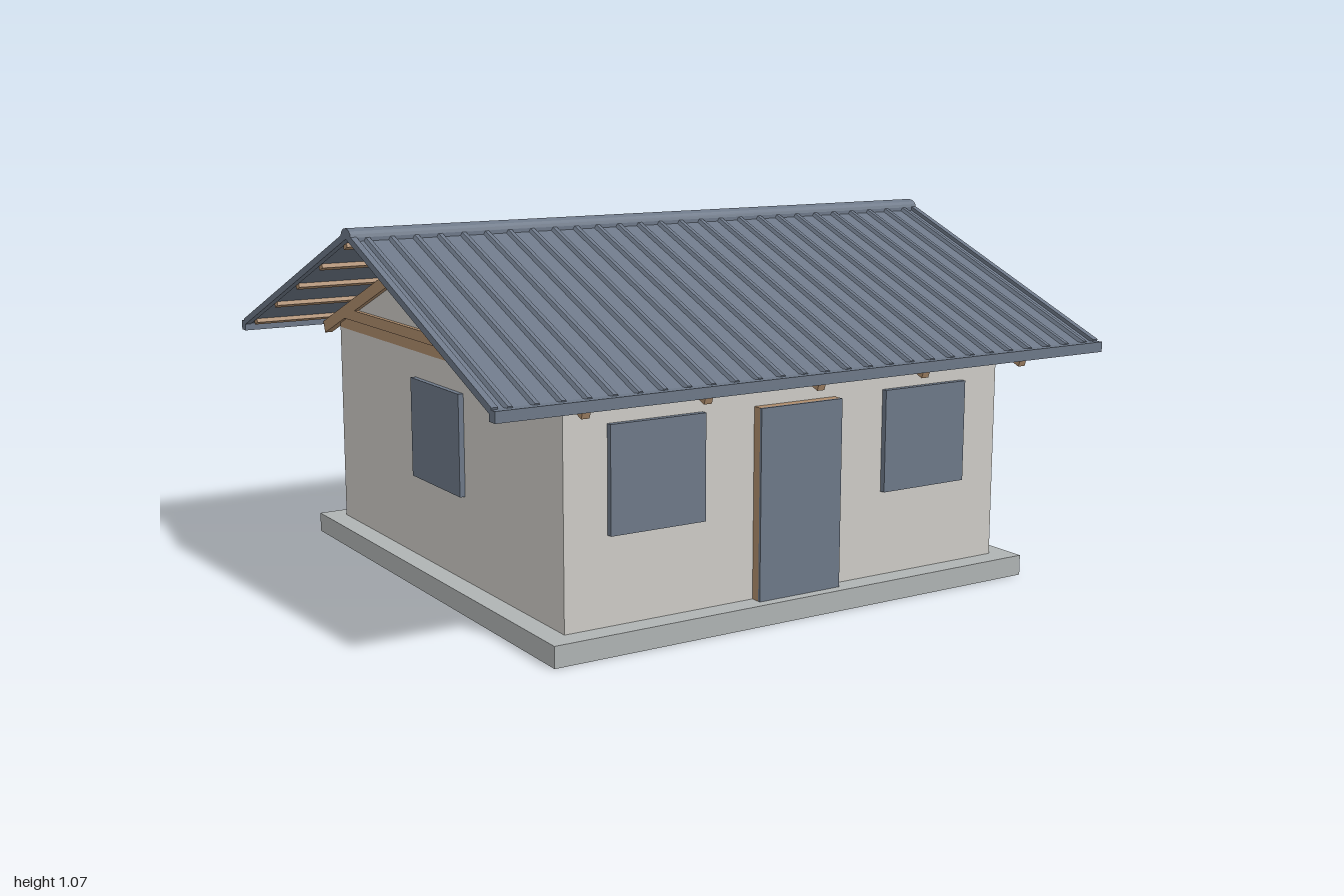
import * as THREE from 'three';

const mat = (name, color) => {
  const m = new THREE.MeshStandardMaterial({ color });
  m.name = name;
  return m;
};

export function createModel() {
  const concrete = mat('concrete', 0xafb3b3);
  const plaster = mat('plaster', 0xcdcbc6);
  const steel = mat('blue grey steel', 0x6d7888);
  const timber = mat('timber', 0xae8c6c);

  const house = new THREE.Group();
  house.name = 'house';

  const add = (parent, name, geometry, material) => {
    const mesh = new THREE.Mesh(geometry, material);
    mesh.name = name;
    parent.add(mesh);
    return mesh;
  };
  // Box given by its limits on each axis
  const block = (parent, name, material, x0, x1, y0, y1, z0, z1) => {
    const mesh = add(parent, name, new THREE.BoxGeometry(x1 - x0, y1 - y0, z1 - z0), material);
    mesh.position.set((x0 + x1) / 2, (y0 + y1) / 2, (z0 + z1) / 2);
    return mesh;
  };
  const shapeOf = (points) => new THREE.Shape(points.map(([x, y]) => new THREE.Vector2(x, y)));
  // Outline in (z, y), extruded along x and centred on x = 0
  const slice = (points, width) =>
    new THREE.ExtrudeGeometry(shapeOf(points), { depth: width, bevelEnabled: false })
      .translate(0, 0, -width / 2)
      .rotateY(-Math.PI / 2);
  // Square ring in plan, used for the walls and the plate on top of them
  const ring = (name, material, half, thick, y0, y1) => {
    const h = half - thick;
    const shape = shapeOf([[-half, -half], [half, -half], [half, half], [-half, half]]);
    shape.holes.push(new THREE.Path([[-h, -h], [-h, h], [h, h], [h, -h]].map(([x, y]) => new THREE.Vector2(x, y))));
    const geometry = new THREE.ExtrudeGeometry(shape, { depth: y1 - y0, bevelEnabled: false });
    add(house, name, geometry.rotateX(-Math.PI / 2), material).position.y = y0;
  };

  const SLOPE = 0.4;
  const angle = Math.atan(SLOPE);

  // Base and walls
  block(house, 'foundationSlab', concrete, -0.795, 0.795, 0, 0.06, -0.795, 0.795);
  ring('walls', plaster, 0.73, 0.04, 0.06, 0.68);
  ring('wallPlate', timber, 0.73, 0.04, 0.68, 0.715);

  // Gable infill behind the end trusses
  for (const side of [-1, 1]) {
    add(house, 'gablePanel', slice([[-0.7, 0.72], [0.7, 0.72], [0, 1.0]], 0.01), plaster).position.x = side * 0.72;
  }

  // Door with timber backing, and windows
  block(house, 'doorFrame', timber, -0.138, 0.135, 0.06, 0.6, 0.73, 0.757);
  block(house, 'door', steel, -0.138, 0.135, 0.06, 0.6, 0.757, 0.765);
  for (const side of [-1, 1]) {
    const x = side * 0.452;
    block(house, 'frontWindow', steel, x - 0.147, x + 0.147, 0.307, 0.603, 0.73, 0.747);
    const wx = side * 0.7375;
    block(house, 'sideWindow', steel, wx - 0.0085, wx + 0.0085, 0.307, 0.603, -0.16, 0.16);
  }

  // Five timber trusses
  const TOP = 1.025;
  const rafterTop = (z) => TOP - SLOPE * z;
  const tail = 0.855;
  const depth = 0.038;
  const chevron = [
    [-tail, rafterTop(tail)], [-tail + depth * 0.35, rafterTop(tail) - depth * 0.93],
    [0, TOP - depth * 1.08],
    [tail - depth * 0.35, rafterTop(tail) - depth * 0.93], [tail, rafterTop(tail)], [0, TOP],
  ];
  for (let i = -2; i <= 2; i++) {
    const truss = new THREE.Group();
    truss.name = 'roofTruss';
    truss.position.x = i * 0.3635;
    house.add(truss);
    const w = 0.024;
    add(truss, 'rafters', slice(chevron, w), timber);
    add(truss, 'bottomChord', slice([[-0.77, 0.715], [0.77, 0.715], [0.69, 0.748], [-0.69, 0.748]], w), timber);
    block(truss, 'kingPost', timber, -w / 2, w / 2, 0.745, 1.0, -0.008, 0.008);
    for (const s of [-1, 1]) {
      const a = new THREE.Vector2(0, 0.757), b = new THREE.Vector2(0.36, 0.862);
      const brace = add(truss, 'diagonalBrace', new THREE.BoxGeometry(w * 0.95, 0.016, a.distanceTo(b)), timber);
      brace.position.set(0, (a.y + b.y) / 2, s * (a.x + b.x) / 2);
      brace.rotation.x = -s * Math.atan2(b.y - a.y, b.x - a.x);
    }
  }

  // Ribbed sheet cross-section, shared by both slopes
  const ribs = 27, pitch = 0.073, sheet = 0.007, ribHeight = 0.016;
  const profile = [[-0.99, 0], [0.99, 0], [0.99, sheet]];
  for (let i = ribs - 1; i >= 0; i--) {
    const x = (i - (ribs - 1) / 2) * pitch;
    profile.push([x + 0.012, sheet], [x + 0.006, ribHeight], [x - 0.006, ribHeight], [x - 0.012, sheet]);
  }
  profile.push([-0.99, sheet]);
  const slopeLength = 0.865 / Math.cos(angle);
  const sheetGeometry = new THREE.ExtrudeGeometry(shapeOf(profile), { depth: slopeLength, bevelEnabled: false });

  for (const turn of [0, Math.PI]) {
    const half = new THREE.Group();
    half.name = 'roofHalf';
    half.rotation.y = turn;
    house.add(half);

    // Parts lying in the slope: sheet, edge trims and purlins
    const plane = new THREE.Group();
    plane.name = 'roofSlope';
    plane.position.y = 1.038;
    plane.rotation.x = angle;
    half.add(plane);
    add(plane, 'ribbedSheet', sheetGeometry, steel);
    for (const s of [-1, 1]) {
      block(plane, 'edgeTrim', steel, s * 0.991 - 0.009, s * 0.991 + 0.009, -0.002, 0.018, 0, slopeLength);
    }
    for (let i = 0; i < 5; i++) {
      const d = 0.06 + i * 0.205;
      block(plane, 'purlin', timber, -0.98, 0.98, -0.0125, 0, d - 0.013, d + 0.013);
    }

    block(half, 'gutter', steel, -1, 1, 0.673, 0.703, 0.858, 0.89);
  }

  // Rounded ridge cap
  const cap = [[-0.035, 1.03], [0, 1.04], [0.035, 1.03]];
  for (let i = 0; i <= 8; i++) {
    const t = (i / 8) * Math.PI;
    cap.push([0.035 * Math.cos(t), 1.042 + 0.024 * Math.sin(t)]);
  }
  add(house, 'ridgeCap', slice(cap, 2), steel);

  return house;
}
